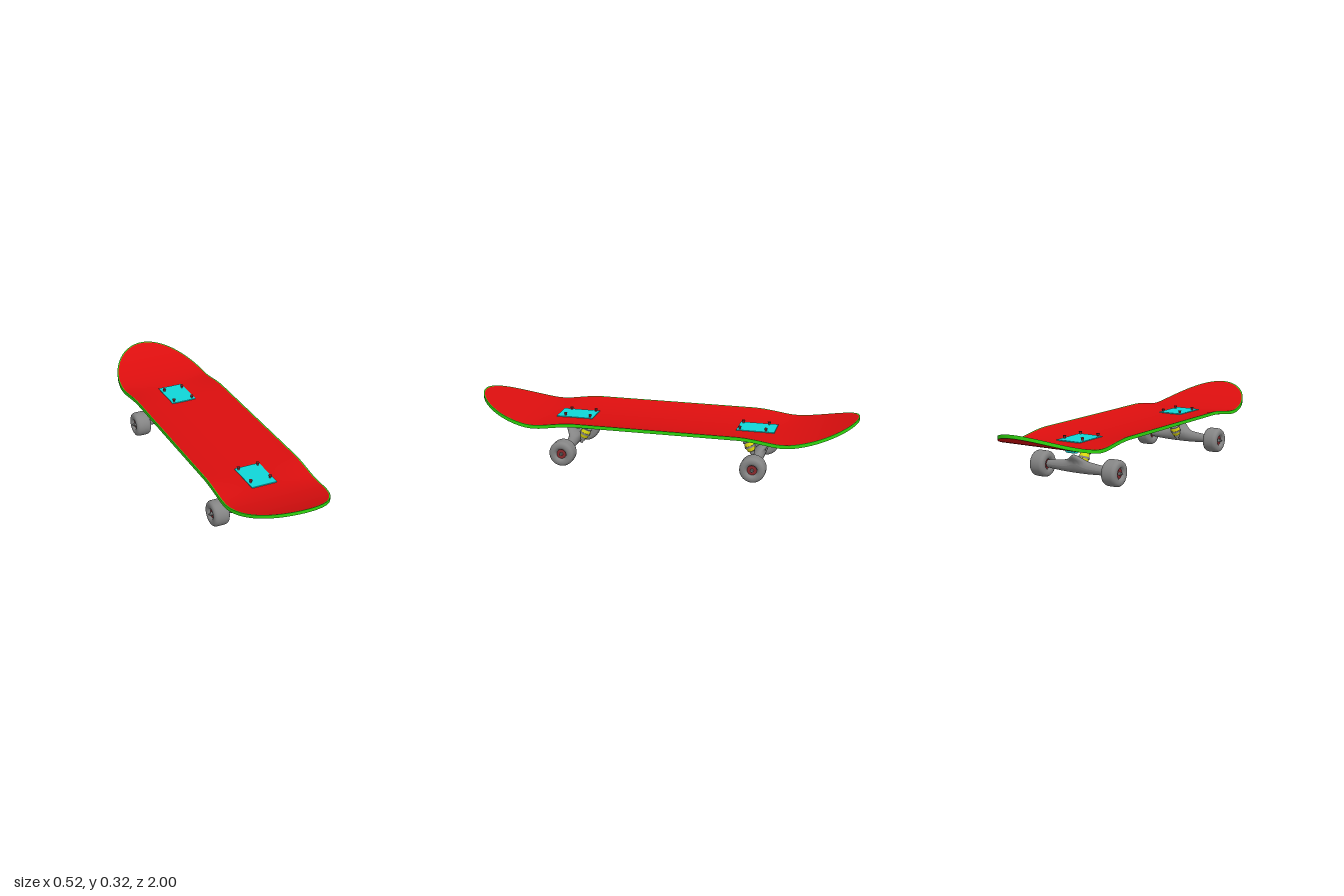
import * as THREE from 'three';

const mat = (name, color) => new THREE.MeshStandardMaterial({ name, color });

// Smooth surface from a rule f(u, v) -> [x, y, z], facing along du x dv
function grid(nu, nv, f) {
  const pos = [], idx = [];
  for (let i = 0; i <= nu; i++) for (let j = 0; j <= nv; j++) pos.push(...f(i / nu, j / nv));
  for (let i = 0; i < nu; i++) for (let j = 0; j < nv; j++) {
    const a = i * (nv + 1) + j, b = a + nv + 1;
    idx.push(a, b, a + 1, b, b + 1, a + 1);
  }
  const g = new THREE.BufferGeometry();
  g.setAttribute('position', new THREE.Float32BufferAttribute(pos, 3));
  g.setIndex(idx);
  g.computeVertexNormals();
  return g;
}

// Underside height of the deck: flat middle, raised sides, kicked-up ends
function deckY(x, z) {
  const t = Math.max(0, Math.abs(z) - 0.6) / 0.4;
  const kick = (z > 0 ? 0.108 : 0.1) * Math.pow(t, 1.8);
  const fade = 1 - THREE.MathUtils.smoothstep(Math.abs(z), 0.42, 0.7);
  return 0.192 + kick + 0.028 * fade * Math.pow(Math.abs(x) / 0.25, 2.2);
}

// Half width of the deck outline, straight sides with elliptical ends
function halfWidth(z, inset) {
  const t = Math.max(0, Math.abs(z) - 0.65) / (0.35 - inset);
  return (0.252 - inset) * Math.sqrt(Math.max(0, 1 - t * t));
}

export function createModel() {
  const red = mat('deck red', 0xdb0e0e);
  const green = mat('edge green', 0x2fd80f);
  const cyan = mat('baseplate cyan', 0x10d6d8);
  const grey = mat('metal and wheel grey', 0x858585);
  const yellow = mat('bushing yellow', 0xe3dc10);
  const dark = mat('hub dark red', 0x8c2a2e);

  const model = new THREE.Group();
  const add = (parent, name, geo, material, x = 0, y = 0, z = 0) => {
    const m = new THREE.Mesh(geo, material);
    m.name = name;
    m.position.set(x, y, z);
    parent.add(m);
    return m;
  };

  // Deck
  const deck = new THREE.Group();
  deck.name = 'deck';
  model.add(deck);
  const THICK = 0.018, LIP = 0.006;
  const along = (s, inset) => (1 - inset) * Math.sin((s - 0.5) * Math.PI);
  const face = (inset, lift, dir) => grid(100, 24, (u, v) => {
    const z = along(u, inset), x = dir * (v * 2 - 1) * halfWidth(z, inset);
    return [x, deckY(x, z) + lift, z];
  });
  const rimPoint = (u, inset, lift) => {
    const t = u * 2, side = t <= 1 ? 1 : -1;
    const z = along(t <= 1 ? 1 - t : t - 1, inset), x = side * halfWidth(z, inset);
    return [x, deckY(x, z) + lift, z];
  };
  add(deck, 'deckTop', face(LIP, THICK, 1), red);
  add(deck, 'deckUnderside', face(0, 0, -1), red);
  add(deck, 'deckEdge', grid(200, 1, (u, v) => rimPoint(u, 0, v * THICK)), green);
  add(deck, 'deckLip', grid(200, 1, (u, v) => rimPoint(u, v * LIP, THICK)), green);

  // Truck mount: side profile (z, y), narrowing downwards
  const profile = [[0.575, 0.187], [0.562, 0.152], [0.54, 0.15], [0.5, 0.172],
    [0.455, 0.136], [0.425, 0.136], [0.395, 0.187]];
  const mountGeo = new THREE.ExtrudeGeometry(
    new THREE.Shape(profile.map(([z, y]) => new THREE.Vector2(-z, y))),
    { depth: 1, bevelEnabled: false });
  mountGeo.translate(0, 0, -0.5).rotateY(Math.PI / 2);
  const mp = mountGeo.attributes.position;
  for (let i = 0; i < mp.count; i++) {
    mp.setX(i, mp.getX(i) * (0.044 + 0.026 * (mp.getY(i) - 0.136) / 0.05));
  }
  mountGeo.computeVertexNormals();

  // Hanger: oval sections along x, peaked toward the pivot in the middle
  const hangerGeo = grid(48, 24, (u, v) => {
    const x = (u * 2 - 1) * 0.178, k = Math.abs(x) / 0.178, a = v * Math.PI * 2;
    const top = 0.09 + 0.02 * (1 - k) + 0.03 * Math.exp(-((x / 0.04) ** 2));
    const low = 0.042 + 0.008 * k * k;
    const y = (top + low) / 2 + (top - low) / 2 * Math.sin(a);
    return [x, y, 0.5 + (0.02 + 0.009 * (1 - k)) * Math.cos(a) + Math.max(0, y - 0.1) * 0.9];
  });

  // Wheel profile with rounded shoulders and a shallow hub recess
  const half = [[0.066, 0.02], [0.0645, 0.029], [0.06, 0.036], [0.053, 0.0405],
    [0.042, 0.0415], [0.03, 0.039], [0.024, 0.026]];
  const wheelPts = [...half.map(([r, h]) => [r, -h]).reverse(), ...half]
    .map(([r, h]) => new THREE.Vector2(r, h));
  const wheelGeo = new THREE.LatheGeometry(wheelPts, 40).rotateZ(-Math.PI / 2);
  const rod = (r, len, seg = 20) => new THREE.CylinderGeometry(r, r, len, seg).rotateZ(Math.PI / 2);

  for (const end of [1, -1]) {
    const truck = new THREE.Group();
    truck.name = end > 0 ? 'frontTruck' : 'backTruck';
    truck.rotation.y = end > 0 ? 0 : Math.PI;
    model.add(truck);

    add(truck, 'baseplate', new THREE.BoxGeometry(0.136, 0.032, 0.196), cyan, 0, 0.199, 0.482);
    add(truck, 'truckMount', mountGeo, cyan);
    add(truck, 'hanger', hangerGeo, grey);
    add(truck, 'axle', rod(0.005, 0.52), grey, 0, 0.067, 0.5);

    // Tilted bushing stack on the kingpin
    const stack = new THREE.Group();
    stack.name = 'bushingStack';
    stack.position.set(0, 0.108, 0.446);
    stack.rotation.x = -0.4;
    truck.add(stack);
    add(stack, 'kingpin', new THREE.CylinderGeometry(0.008, 0.008, 0.1, 12), grey, 0, -0.01);
    add(stack, 'upperBushing', new THREE.CylinderGeometry(0.023, 0.026, 0.02, 24), yellow, 0, 0.016);
    add(stack, 'hangerRing', new THREE.CylinderGeometry(0.028, 0.028, 0.01, 24), grey, 0, 0.001);
    add(stack, 'lowerBushing', new THREE.CylinderGeometry(0.026, 0.02, 0.02, 24), yellow, 0, -0.014);
    add(stack, 'topWasher', new THREE.CylinderGeometry(0.028, 0.028, 0.005, 24), grey, 0, 0.028);
    add(stack, 'kingpinNut', new THREE.CylinderGeometry(0.014, 0.014, 0.014, 6), grey, 0, -0.034);

    for (const s of [1, -1]) {
      add(truck, 'wheel', wheelGeo, grey, s * 0.2135, 0.067, 0.5);
      add(truck, 'wheelHub', rod(0.025, 0.056), dark, s * 0.2135, 0.067, 0.5);
      add(truck, 'axleNut', rod(0.01, 0.012, 6), grey, s * 0.246, 0.067, 0.5);
      // Mounting bolts
      for (const z of [0.4, 0.535]) {
        add(truck, 'boltHead', new THREE.CylinderGeometry(0.009, 0.005, 0.012, 12), dark, s * 0.053, 0.224, z);
        add(truck, 'boltShaft', new THREE.CylinderGeometry(0.005, 0.005, 0.045, 10), grey, s * 0.053, 0.198, z);
      }
    }
  }
  return model;
}
